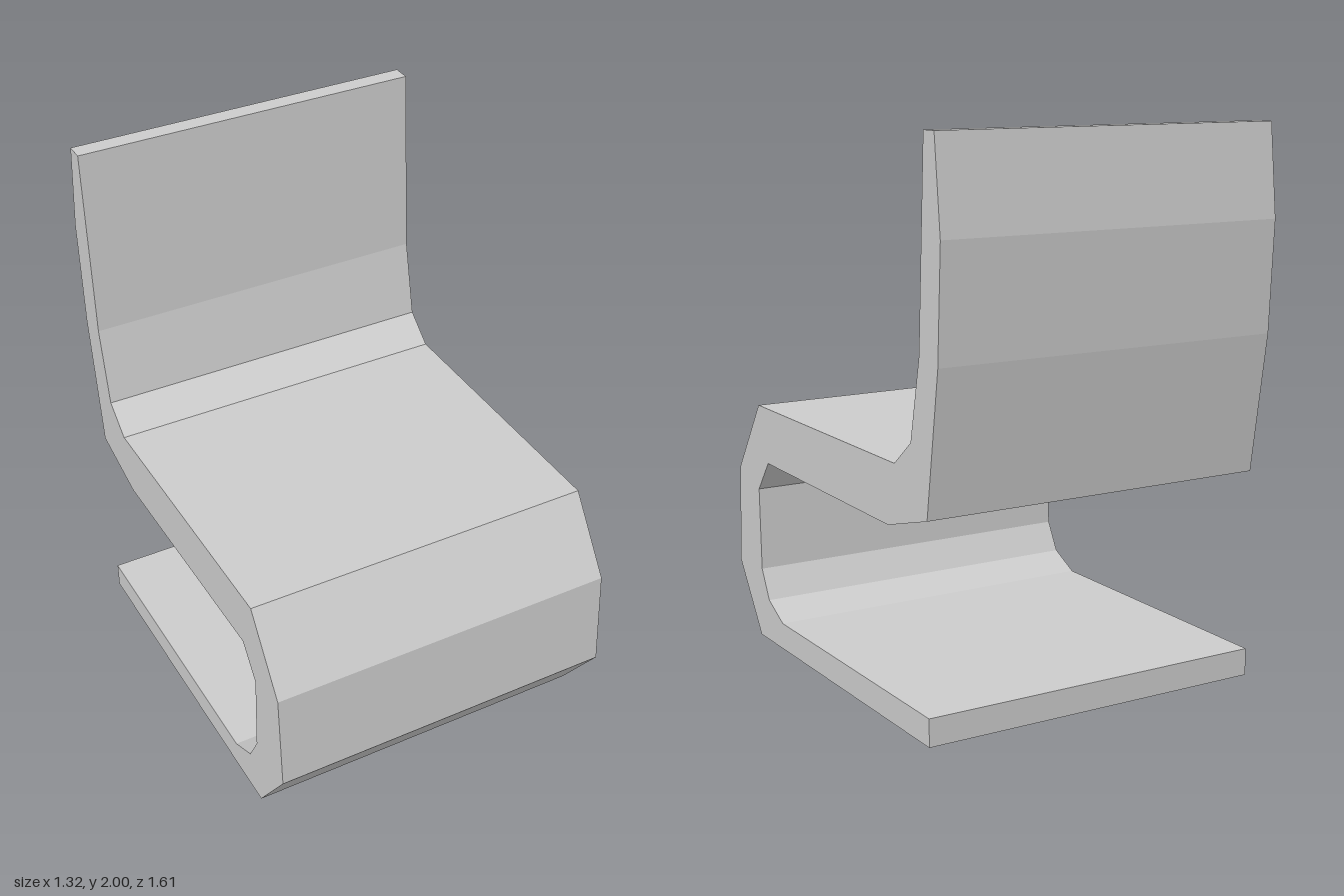
import * as THREE from 'three';

const WIDTH = 1.32;

// Side outline of the folded cantilever chair as [z, y]
const OUTLINE = [
  // underside of base, front bend
  [-0.71, 0], [0.62, 0], [0.805, 0.26], [0.783, 0.64], [0.595, 0.915],
  // seat top, front of backrest
  [-0.488, 0.91], [-0.6, 1.0], [-0.66, 1.29], [-0.697, 2],
  // rear of backrest
  [-0.765, 2], [-0.8, 1.67], [-0.78, 1.27], [-0.705, 0.763],
  // seat underside, inside of bend, top of base
  [-0.44, 0.69], [0.52, 0.703], [0.61, 0.585], [0.6, 0.27],
  [0.54, 0.16], [0.42, 0.1], [-0.71, 0.1],
];

export function createModel() {
  const group = new THREE.Group();
  group.name = 'chair';

  const shape = new THREE.Shape(OUTLINE.map(([z, y]) => new THREE.Vector2(-z, y)));
  const geometry = new THREE.ExtrudeGeometry(shape, { depth: WIDTH, bevelEnabled: false });
  geometry.translate(0, 0, -WIDTH / 2);
  geometry.rotateY(Math.PI / 2); // sweep the outline across x

  const material = new THREE.MeshStandardMaterial({ color: 0xcccccc, flatShading: true });
  const shell = new THREE.Mesh(geometry, material);
  shell.name = 'chairShell';
  group.add(shell);
  return group;
}
